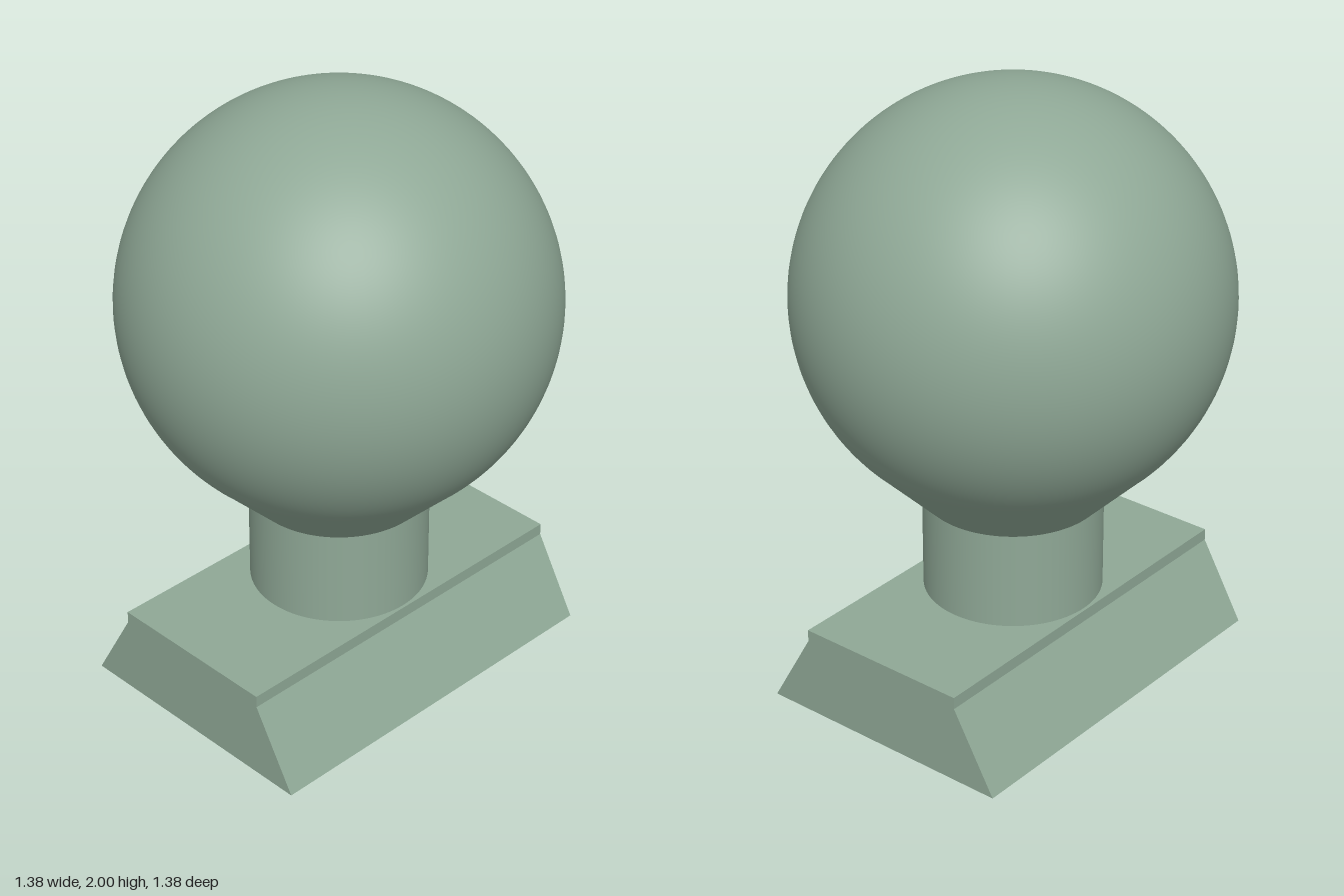
import * as THREE from 'three';

export function createModel() {
  const model = new THREE.Group();
  const sage = new THREE.MeshStandardMaterial({ color: 0x8fa896 });
  sage.name = 'sage green';

  const add = (name, geometry, y = 0) => {
    const mesh = new THREE.Mesh(geometry, sage);
    mesh.name = name;
    mesh.position.y = y;
    model.add(mesh);
  };

  // Dovetail foot: sloped sides with a short vertical lip, extruded front to back
  const outline = [[-0.45, 0], [0.45, 0], [0.3, 0.26], [0.3, 0.3], [-0.3, 0.3], [-0.3, 0.26]];
  const profile = new THREE.Shape(outline.map(([x, y]) => new THREE.Vector2(x, y)));
  const foot = new THREE.ExtrudeGeometry(profile, { depth: 1.3, bevelEnabled: false });
  foot.translate(0, 0, -0.65);
  add('dovetailFoot', foot);

  // Straight round neck
  add('neck', new THREE.CylinderGeometry(0.29, 0.29, 0.325, 96, 1, true), 0.4625);

  // Flared collar running up into the ball
  add('collar', new THREE.CylinderGeometry(0.497, 0.29, 0.207, 96), 0.7285);

  // Ball, cut off where the collar meets it
  const r = 0.69;
  const cut = Math.PI - Math.acos((1.31 - 0.83) / r);
  add('ball', new THREE.SphereGeometry(r, 96, 64, 0, Math.PI * 2, 0, cut), 1.31);

  return model;
}
